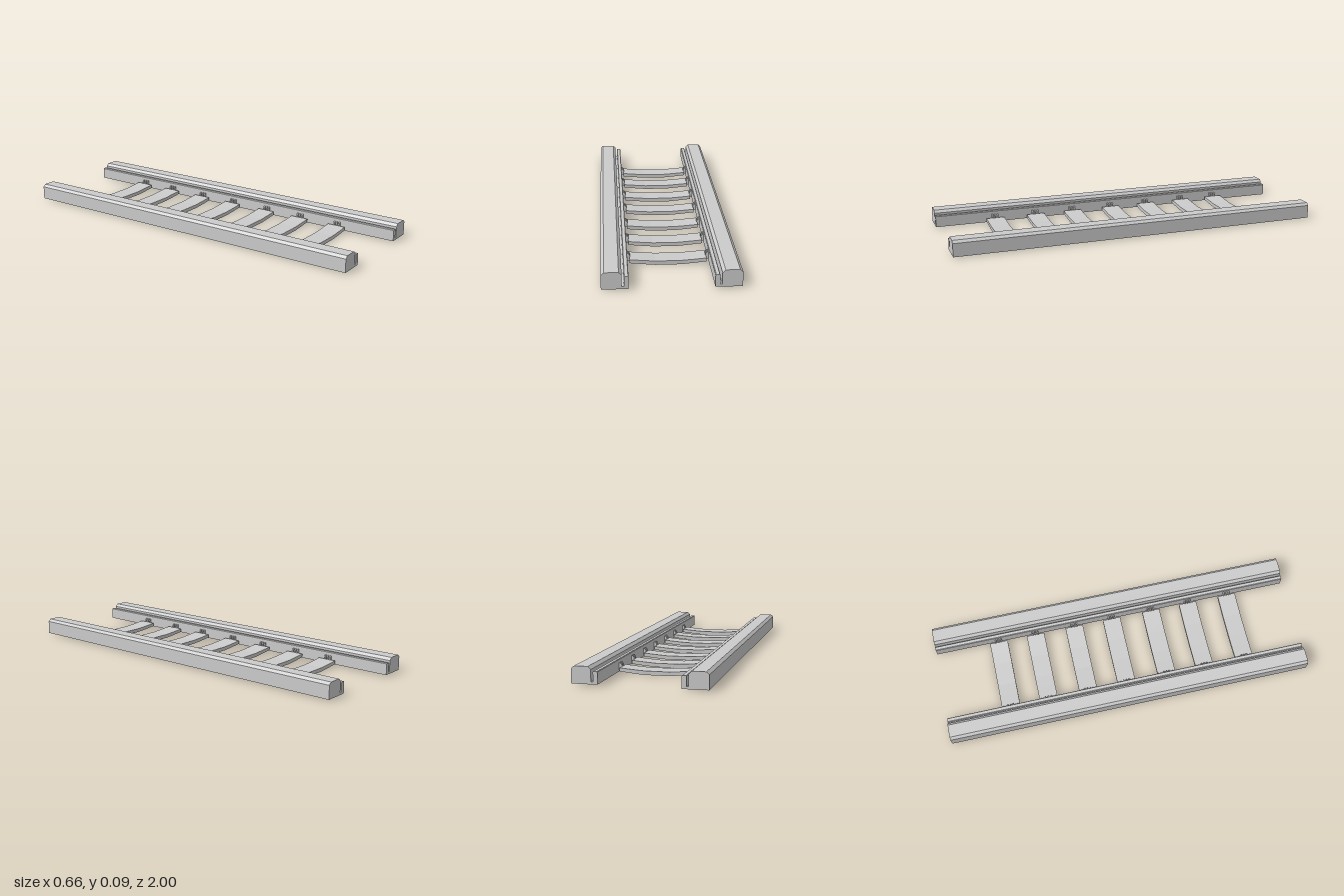
import * as THREE from 'three';

const material = new THREE.MeshStandardMaterial({ color: 0xcccccc, flatShading: true });

// Extrudes an xy profile along z, centred on z
function extrudeProfile(points, depth, z, name) {
  const shape = new THREE.Shape(points.map(([x, y]) => new THREE.Vector2(x, y)));
  const geometry = new THREE.ExtrudeGeometry(shape, { depth, bevelEnabled: false });
  geometry.translate(0, 0, z - depth / 2);
  const mesh = new THREE.Mesh(geometry, material);
  mesh.name = name;
  return mesh;
}

const mirrorX = (points) => points.map(([x, y]) => [-x, y]).reverse();

export function createModel() {
  const group = new THREE.Group();
  group.name = 'railLadder';

  // Side rail section: chamfered head, narrow groove, inner lip
  const rail = [
    [0.2, 0.006], [0.328, 0.006], [0.328, 0.077], [0.314, 0.09],
    [0.246, 0.09], [0.232, 0.076], [0.232, 0.018], [0.222, 0.018],
    [0.222, 0.065], [0.219, 0.068], [0.203, 0.068], [0.2, 0.065],
  ];
  group.add(extrudeProfile(rail, 2, 0, 'leftRail'));
  group.add(extrudeProfile(mirrorX(rail), 2, 0, 'rightRail'));

  // Sagging slat section
  const top = [[0.188, 0.031], [0.125, 0.0255], [0.062, 0.021]];
  const bottom = [[0.062, 0.001], [0.125, 0.0065], [0.188, 0.013]];
  const slat = [...top, ...mirrorX(top), ...mirrorX(bottom), ...bottom];

  // Rounded fins that clip each slat end to the rail lip
  const fin = [
    [0.201, 0.012], [0.201, 0.049], [0.196, 0.049], [0.19, 0.045],
    [0.186, 0.039], [0.185, 0.031], [0.185, 0.018], [0.188, 0.013],
  ];

  const slatZ = [-0.65, -0.44, -0.217, 0, 0.229, 0.445, 0.674];
  for (const z of slatZ) {
    group.add(extrudeProfile(slat, 0.1, z, 'slat'));
    for (const offset of [-0.015, 0, 0.015]) {
      group.add(extrudeProfile(fin, 0.007, z + offset, 'leftFin'));
      group.add(extrudeProfile(mirrorX(fin), 0.007, z + offset, 'rightFin'));
    }
  }

  // Stand the slats on the ground
  for (const mesh of group.children) if (mesh.name === 'slat') mesh.position.y = -0.001;
  return group;
}
